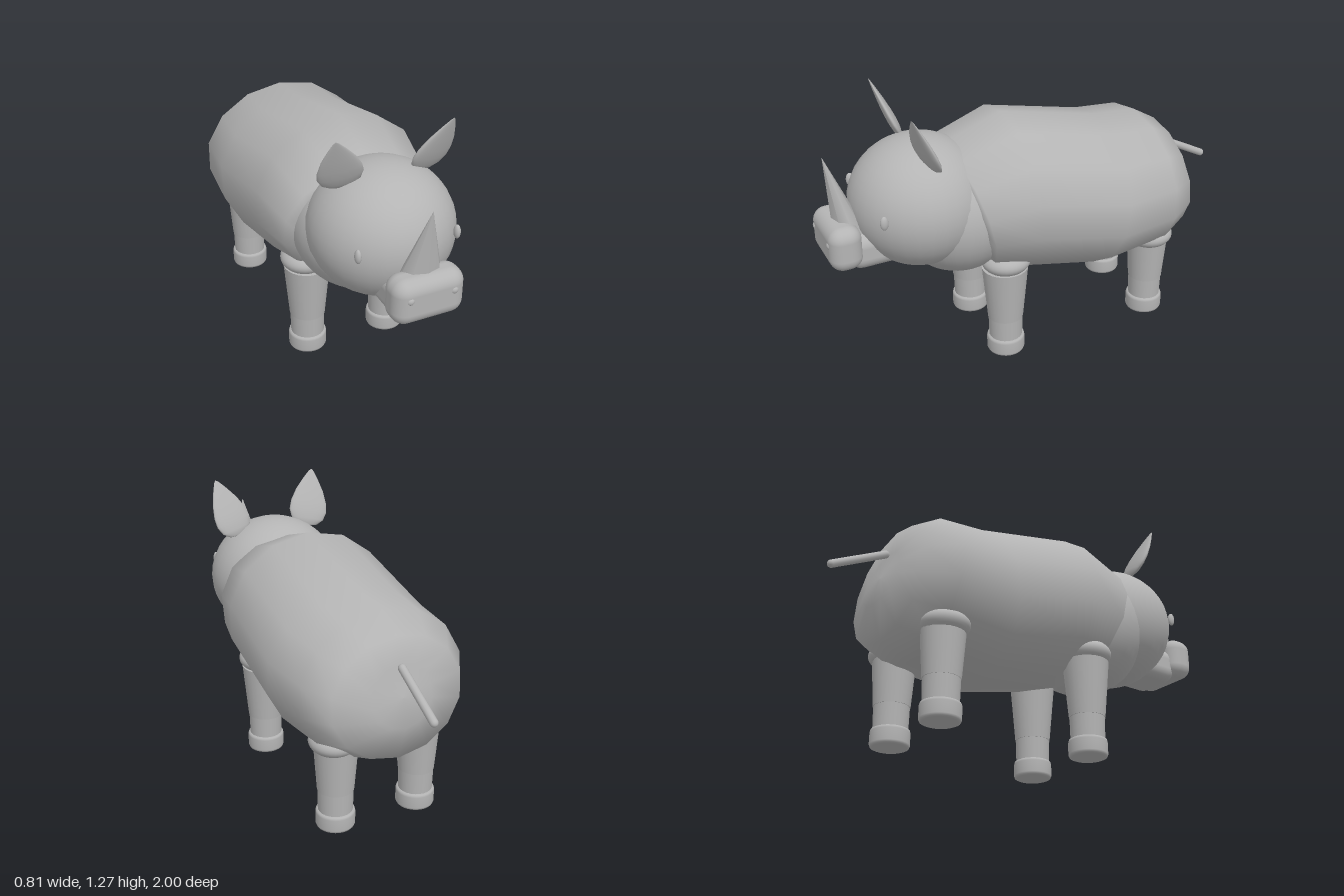
import * as THREE from 'three';
import { RoundedBoxGeometry } from 'three/addons/geometries/RoundedBoxGeometry.js';

const hide = new THREE.MeshStandardMaterial({ color: 0xb4b4b4 });
hide.name = 'grey hide';

export function createModel() {
  const model = new THREE.Group();
  model.name = 'rhinoceros';

  const add = (name, geometry, x = 0, y = 0, z = 0) => {
    const mesh = new THREE.Mesh(geometry, hide);
    mesh.name = name;
    mesh.position.set(x, y, z);
    model.add(mesh);
    return mesh;
  };
  const ellipsoid = (name, x, y, z, rx, ry, rz) =>
    add(name, new THREE.SphereGeometry(1, 32, 20), x, y, z).scale.set(rx, ry, rz);
  const lathe = (points, segments) =>
    new THREE.LatheGeometry(points.map(([r, y]) => new THREE.Vector2(r, y)), segments);

  // Torso: tilted rings from rump to chest [zTop, yTop, zBottom, yBottom, halfWidth]
  add('torso', loft([
    [-0.75, 0.67, -0.75, 0.67, 0],
    [-0.71, 0.80, -0.775, 0.54, 0.14],
    [-0.68, 0.92, -0.73, 0.38, 0.31],
    [-0.56, 0.99, -0.58, 0.32, 0.395],
    [-0.35, 1.005, -0.25, 0.285, 0.417],
    [0.14, 1.115, 0.12, 0.37, 0.412],
    [0.42, 1.02, 0.28, 0.425, 0.365],
    [0.42, 0.95, 0.33, 0.50, 0.28],
    [0.39, 0.73, 0.39, 0.73, 0],
  ], 14));

  // Neck and head
  ellipsoid('neck', 0, 0.715, 0.375, 0.32, 0.305, 0.30);
  ellipsoid('head', 0, 0.784, 0.542, 0.318, 0.293, 0.315);
  add('jaw', new RoundedBoxGeometry(0.25, 0.17, 0.26, 4, 0.06), 0, 0.635, 0.775);
  add('snout', new RoundedBoxGeometry(0.316, 0.204, 0.145, 5, 0.06), 0, 0.682, 0.922);

  // Horn: a cone whose tip leans forward
  const horn = new THREE.ConeGeometry(0.108, 0.37, 8);
  const p = horn.attributes.position;
  for (let i = 0; i < p.count; i++) {
    p.setZ(i, p.getZ(i) * 0.65 + (p.getY(i) + 0.185) / 0.37 * 0.085);
  }
  horn.computeVertexNormals();
  add('horn', horn, 0, 0.885, 0.87);

  // Tail: slim capsule sloping down behind the rump
  const tail = add('tail', new THREE.CapsuleGeometry(0.018, 0.28, 6, 12), 0, 0.732, -0.855);
  tail.rotation.x = 1.1;

  for (const [side, s] of [['left', 1], ['right', -1]]) {
    ellipsoid(side + 'Eye', s * 0.224, 0.825, 0.782, 0.014, 0.032, 0.018);
    ellipsoid(side + 'Nostril', s * 0.097, 0.708, 0.985, 0.018, 0.018, 0.015);

    // Ear: flattened teardrop
    const earGeometry = lathe([
      [0, 0], [0.05, 0.008], [0.082, 0.035], [0.096, 0.075], [0.092, 0.12],
      [0.071, 0.18], [0.038, 0.24], [0.012, 0.28], [0, 0.29],
    ], 24).scale(1, 1, 0.22);
    const ear = add(side + 'Ear', earGeometry, s * 0.183, 1.01, 0.545);
    ear.rotation.set(0.42, s * 0.15, -s * 0.27);

    // Legs: tapered thigh, straight shin, rounded foot and a joint at the top
    for (const [end, z, top, r, jointY] of [
      ['front', 0.225, 0.45, 0.106, 0.49], ['back', -0.545, 0.43, 0.1, 0.425],
    ]) {
      const name = side + end[0].toUpperCase() + end.slice(1);
      const x = s * 0.203;
      ellipsoid(name + 'Joint', s * 0.215, jointY, z, 0.108, 0.062, 0.113);
      add(name + 'Thigh', new THREE.CylinderGeometry(r, 0.082, top - 0.185, 24), x, (top + 0.185) / 2, z);
      add(name + 'Shin', new THREE.CylinderGeometry(0.08, 0.077, 0.13, 24), x, 0.13, z);
      add(name + 'Foot', lathe([
        [0, 0], [0.075, 0], [0.084, 0.004], [0.088, 0.014], [0.088, 0.068],
        [0.085, 0.079], [0.075, 0.084], [0, 0.084],
      ], 28), x, 0, z);
    }
  }
  return model;
}

// Smooth skin over elliptical rings, each spanning a top and a bottom point
function loft(rings, sides) {
  const positions = [], index = [];
  rings.forEach(([zt, yt, zb, yb, w], r) => {
    for (let i = 0; i < sides; i++) {
      const a = (i / sides) * Math.PI * 2;
      const c = Math.cos(a);
      positions.push(Math.sin(a) * w, (yt + yb) / 2 + c * (yt - yb) / 2, (zt + zb) / 2 + c * (zt - zb) / 2);
      if (r === rings.length - 1) continue;
      const j = (i + 1) % sides;
      const a0 = r * sides + i, a1 = r * sides + j;
      index.push(a0, a0 + sides, a1, a1, a0 + sides, a1 + sides);
    }
  });
  const geometry = new THREE.BufferGeometry();
  geometry.setAttribute('position', new THREE.Float32BufferAttribute(positions, 3));
  geometry.setIndex(index);
  geometry.computeVertexNormals();
  return geometry;
}
